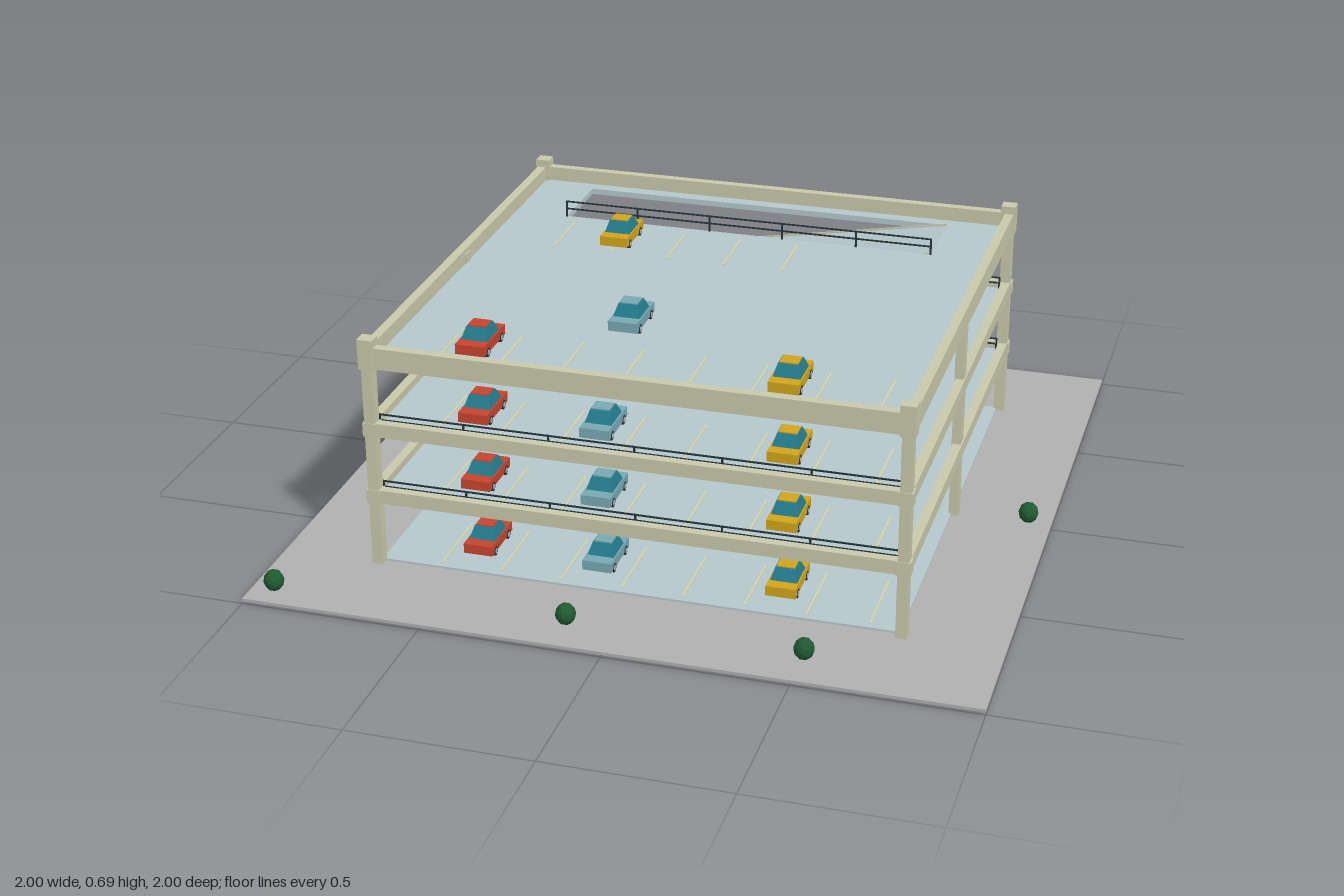
import * as THREE from 'three';

const mat = (name, color, side = THREE.FrontSide) => {
  const m = new THREE.MeshStandardMaterial({ color, side });
  m.name = name;
  return m;
};

export function createModel() {
  const root = new THREE.Group();
  root.name = 'parkingGarage';
  const M = {
    ground: mat('asphalt', 0xb0b0b0),
    deck: mat('paleBlueDeck', 0xb5c8cc),
    beam: mat('beigeConcrete', 0xc9c9ab),
    line: mat('paleYellowPaint', 0xd3d3a8),
    dark: mat('darkMetal', 0x26343a),
    glass: mat('tealGlass', 0x237a8a),
    red: mat('redPaint', 0xc8452f),
    yellow: mat('yellowPaint', 0xd2a51c),
    blue: mat('bluePaint', 0x78a8b2),
    bush: mat('darkGreenLeaves', 0x1f5a30),
  };
  M.bush.flatShading = true;

  const add = (parent, name, geo, m, x = 0, y = 0, z = 0) => {
    const mesh = new THREE.Mesh(geo, m);
    mesh.name = name;
    mesh.position.set(x, y, z);
    parent.add(mesh);
    return mesh;
  };
  // Box given by its minimum and maximum corners
  const box = (parent, name, m, x0, x1, y0, y1, z0, z1) =>
    add(parent, name, new THREE.BoxGeometry(x1 - x0, y1 - y0, z1 - z0), m,
      (x0 + x1) / 2, (y0 + y1) / 2, (z0 + z1) / 2);

  const FLOORS = [0.015, 0.213, 0.412, 0.611];
  const RX0 = -0.555, RX1 = 0.55, RZ0 = -0.657, RZ1 = -0.42;

  // Ground slab and ground-floor surface
  box(root, 'ground', M.ground, -1, 1, 0, 0.009, -1, 1);
  box(root, 'groundFloor', M.deck, -0.72, 0.72, 0.009, FLOORS[0], -0.7, 0.7);

  // Upper decks with the ramp opening
  for (const y of FLOORS.slice(1)) {
    const s = new THREE.Shape();
    s.moveTo(-0.72, -0.7).lineTo(0.72, -0.7).lineTo(0.72, 0.7).lineTo(-0.72, 0.7).closePath();
    const h = new THREE.Path();
    h.moveTo(RX0, -RZ1).lineTo(RX0, -RZ0).lineTo(RX1, -RZ0).lineTo(RX1, -RZ1).closePath();
    s.holes.push(h);
    const g = new THREE.ExtrudeGeometry(s, { depth: 0.017, bevelEnabled: false });
    g.rotateX(-Math.PI / 2);
    add(root, 'deck', g, M.deck, 0, y - 0.017, 0);
  }

  // Edge beams around each upper deck, tallest at the roof
  FLOORS.slice(1).forEach((y, i) => {
    const top = i === 2 ? 0.653 : y + 0.021, low = i === 2 ? 0.593 : y - 0.018;
    for (const s of [-1, 1]) {
      const z = s * 0.709, x = s * 0.729;
      box(root, 'longBeam', M.beam, -0.742, 0.742, low, top, z - 0.013, z + 0.013);
      box(root, 'sideBeam', M.beam, x - 0.013, x + 0.013, low, top, -0.715, 0.715);
    }
  });

  // Corner columns with caps, and a middle column on each side
  for (const sx of [-1, 1]) {
    for (const sz of [-1, 1]) {
      const x = sx * 0.726, z = sz * 0.708;
      box(root, 'cornerColumn', M.beam, x - 0.015, x + 0.015, 0.009, 0.65, z - 0.016, z + 0.016);
      box(root, 'columnCap', M.beam, x - 0.021, x + 0.021, 0.59, 0.676, z - 0.02, z + 0.02);
      for (const y of FLOORS.slice(1, 3))
        box(root, 'columnCollar', M.beam, x - 0.02, x + 0.02, y - 0.018, y + 0.021, z - 0.018, z + 0.018);
    }
    const x = sx * 0.725;
    box(root, 'middleColumn', M.beam, x - 0.013, x + 0.013, 0.009, 0.64, -0.019, 0.019);
  }

  // Sloped slab as a parallelogram, extruded across z
  const slope = (name, m, ya, yb, lo, hi, z0, z1) => {
    const s = new THREE.Shape();
    s.moveTo(RX0, ya + lo).lineTo(RX1, yb + lo).lineTo(RX1, yb + hi).lineTo(RX0, ya + hi).closePath();
    add(root, name, new THREE.ExtrudeGeometry(s, { depth: z1 - z0, bevelEnabled: false }), m, 0, 0, z0);
  };
  for (let i = 0; i < 3; i++) {
    const a = FLOORS[i], b = FLOORS[i + 1];
    slope('ramp', M.deck, a, b, -0.02, 0, RZ0 + 0.004, RZ1 - 0.004);
    slope('rampKerb', M.beam, a, b, -0.021, 0.005, RZ0, RZ0 + 0.004);
    slope('rampKerb', M.beam, a, b, -0.021, 0.005, RZ1 - 0.004, RZ1);
    // Dashed lane marks along the ramp
    const k = (b - a) / (RX1 - RX0);
    for (let j = 0; j < 5; j++) {
      const x = -0.47 + j * 0.21;
      const d = add(root, 'laneMark', new THREE.BoxGeometry(0.08, 0.002, 0.006), M.line,
        x, a + (x - RX0) * k + 0.001, -0.545);
      d.rotation.z = Math.atan(k);
    }
  }

  // Railing with two rails and posts
  const railing = (x0, x1, y, z, height, n) => {
    const g = new THREE.Group();
    g.name = 'railing';
    for (const f of [0.55, 1])
      box(g, 'rail', M.dark, x0, x1, y + height * f - 0.004, y + height * f, z - 0.002, z + 0.002);
    for (let i = 0; i <= n; i++) {
      const x = x0 + ((x1 - x0) * i) / n;
      box(g, 'railPost', M.dark, x - 0.0025, x + 0.0025, y, y + height, z - 0.0025, z + 0.0025);
    }
    root.add(g);
  };
  for (const y of FLOORS.slice(1, 3))
    for (const z of [-0.69, 0.69]) railing(-0.71, 0.71, y, z, 0.037, 6);
  railing(RX0, RX1, FLOORS[3], RZ1 + 0.004, 0.05, 5);

  // Parking bay lines
  for (const y of FLOORS) {
    for (let i = 0; i < 8; i++) {
      const x = -0.555 + i * 0.17;
      box(root, 'bayLine', M.line, x - 0.003, x + 0.003, y, y + 0.002, 0.45, 0.68);
    }
    for (let i = 0; i < 5; i++) {
      const x = -0.515 + i * 0.17;
      box(root, 'bayLine', M.line, x - 0.003, x + 0.003, y, y + 0.002, -0.38, -0.18);
    }
  }

  // Car: body, tapered glass cabin, painted roof and four wheels
  const wheelGeo = new THREE.CylinderGeometry(0.013, 0.013, 0.012, 12).rotateZ(Math.PI / 2);
  const hubGeo = new THREE.CylinderGeometry(0.008, 0.008, 0.014, 10).rotateZ(Math.PI / 2);
  const cabinGeo = new THREE.BoxGeometry(0.074, 0.031, 0.09);
  const p = cabinGeo.attributes.position;
  for (let i = 0; i < p.count; i++)
    if (p.getY(i) > 0) p.setXYZ(i, p.getX(i) * 0.75, p.getY(i), p.getZ(i) * 0.6);
  cabinGeo.computeVertexNormals();
  const car = (x, y, z, paint) => {
    const g = new THREE.Group();
    g.name = 'car';
    g.position.set(x, y, z);
    box(g, 'carBody', paint, -0.041, 0.041, 0.011, 0.039, -0.08, 0.08);
    add(g, 'carCabin', cabinGeo, M.glass, 0, 0.0545, 0);
    box(g, 'carRoof', paint, -0.025, 0.025, 0.07, 0.073, -0.023, 0.023);
    for (const sx of [-1, 1])
      for (const sz of [-1, 1]) {
        add(g, 'wheel', wheelGeo, M.dark, sx * 0.036, 0.013, sz * 0.05);
        add(g, 'wheelHub', hubGeo, M.ground, sx * 0.036, 0.013, sz * 0.05);
      }
    root.add(g);
  };
  FLOORS.forEach((y, i) => {
    car(-0.47, y, 0.55, M.red);
    car(0.38, y, 0.55, M.yellow);
    if (i < 3) {
      car(-0.13, y, 0.55, M.blue);
      car(0.255, y, -0.28, M.blue);
    } else {
      car(-0.13, y, 0.295, M.blue);
      car(-0.34, y, -0.28, M.yellow);
    }
  });

  // Small bushes around the lot
  const bushGeo = new THREE.IcosahedronGeometry(0.028, 1);
  const spots = [[-0.51, -0.895], [0.085, -0.895], [0.55, -0.895], [-0.935, -0.045],
    [0.935, 0], [-0.13, 0.89], [0.51, 0.89], [-0.935, 0.935]];
  for (const [x, z] of spots) add(root, 'bush', bushGeo, M.bush, x, 0.04, z).scale.y = 1.1;

  return root;
}
